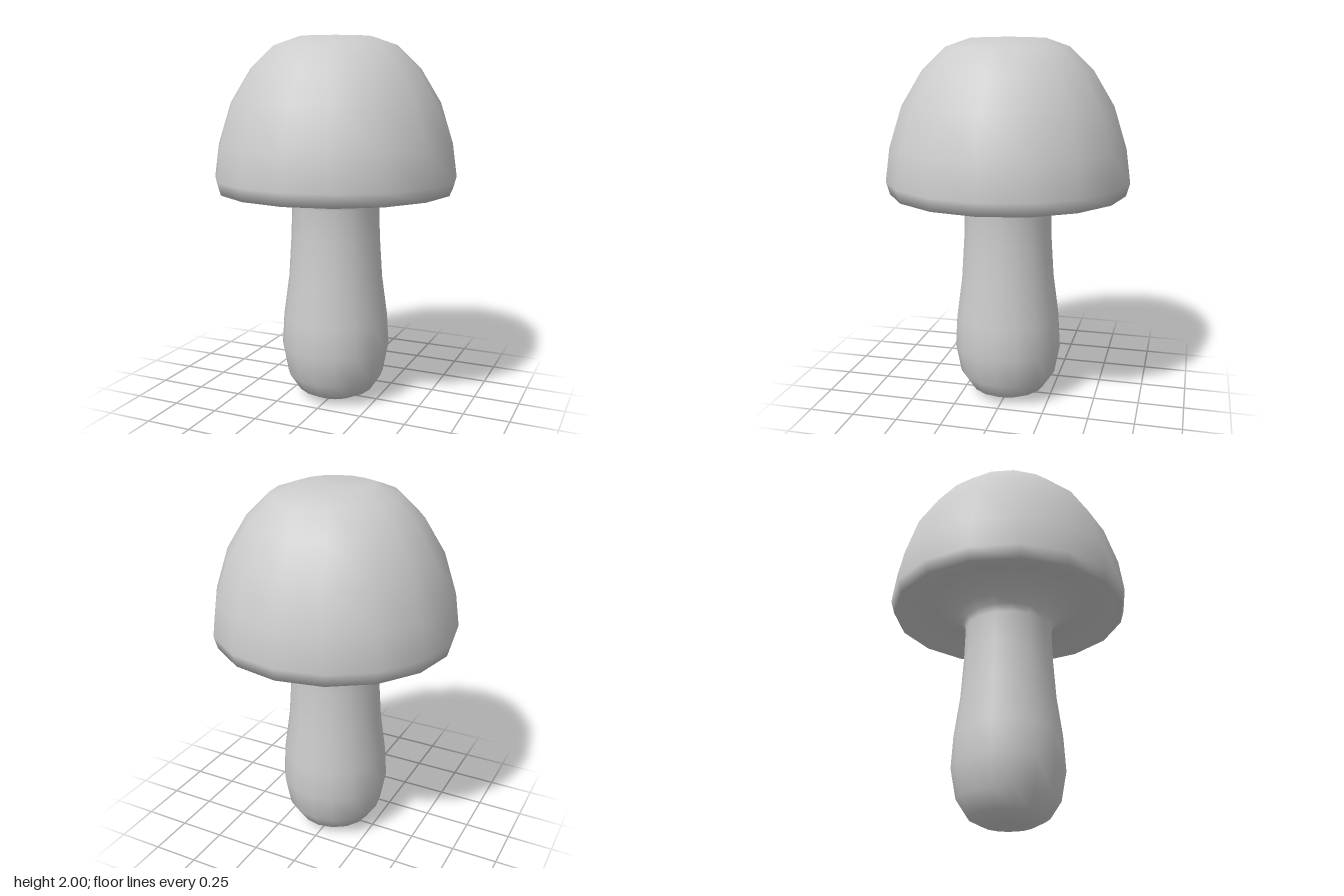
import * as THREE from 'three';

const SIDES = 16;

// Smooth turned part from [radius, height] pairs, listed from bottom to top
function turned(name, profile, material) {
  const points = profile.map(([r, y]) => new THREE.Vector2(r, y));
  const mesh = new THREE.Mesh(new THREE.LatheGeometry(points, SIDES), material);
  mesh.name = name;
  return mesh;
}

export function createModel() {
  const group = new THREE.Group();
  group.name = 'mushroom';

  const lightGrey = new THREE.MeshStandardMaterial({ color: 0xcccccc });
  lightGrey.name = 'lightGrey';

  // Bulbous stem, flaring into the underside of the cap
  group.add(turned('stem', [
    [0, 0], [0.13, 0.01], [0.21, 0.05], [0.27, 0.14], [0.30, 0.30],
    [0.29, 0.47], [0.26, 0.69], [0.245, 0.92], [0.24, 1.10],
    [0.255, 1.14], [0.29, 1.18], [0.35, 1.23], [0.42, 1.25],
  ], lightGrey));

  // Domed cap: hollow underside, rim, then up over the dome
  group.add(turned('cap', [
    [0.42, 1.25], [0.49, 1.25], [0.57, 1.22], [0.64, 1.18], [0.66, 1.25],
    [0.635, 1.43], [0.565, 1.65], [0.455, 1.83], [0.33, 1.95],
    [0.20, 1.995], [0, 2],
  ], lightGrey));

  return group;
}
